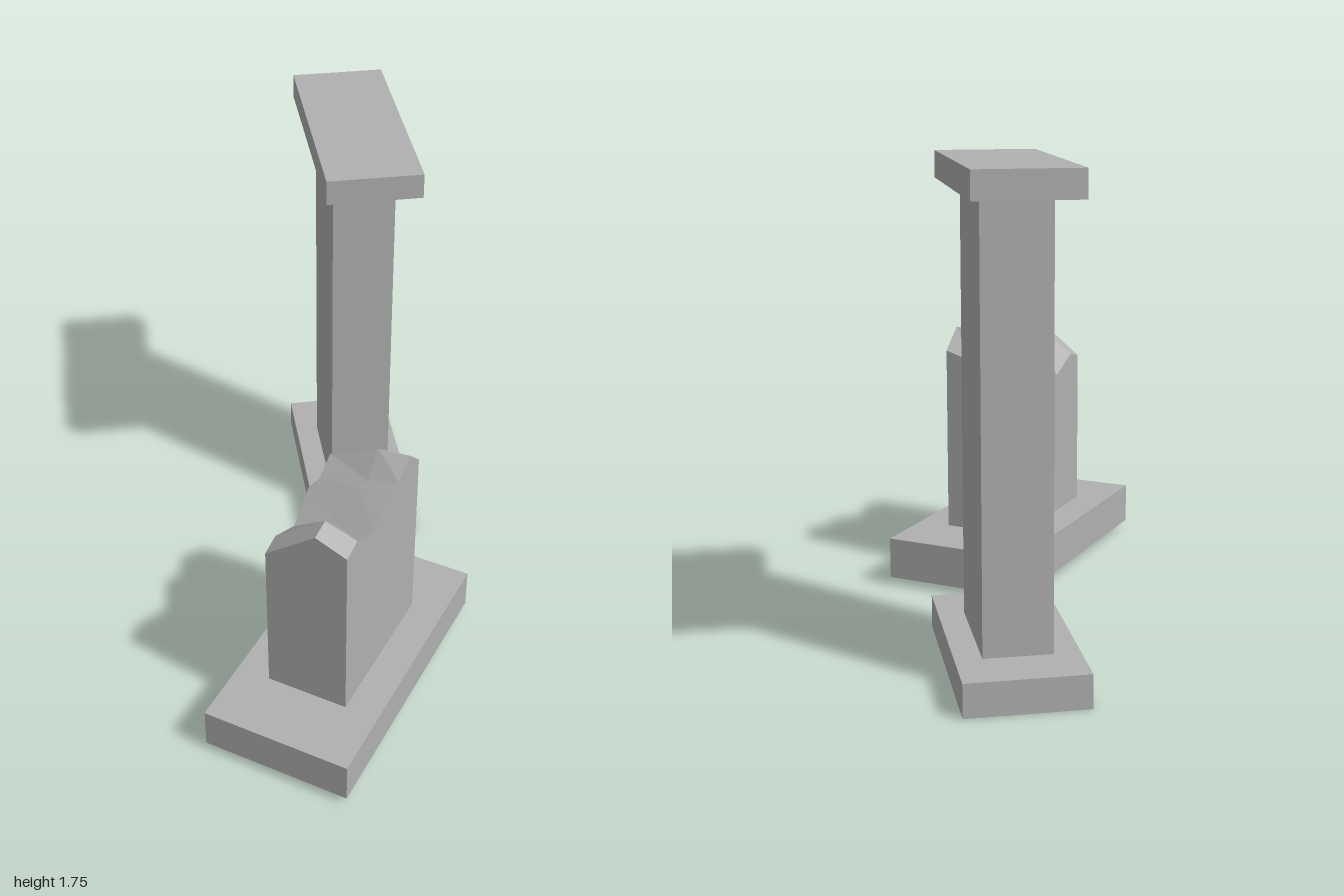
import * as THREE from 'three';

const stone = new THREE.MeshStandardMaterial({ color: 0xb0b0b0, side: THREE.DoubleSide, flatShading: true });
stone.name = 'grey stone';

function add(group, name, geometry, y = 0) {
  const mesh = new THREE.Mesh(geometry, stone);
  mesh.name = name;
  mesh.position.y = y;
  group.add(mesh);
}

// Plinth: a box left open underneath
function plinth(l, h, w) {
  const g = new THREE.BoxGeometry(l, h, w);
  const index = Array.from(g.index.array);
  index.splice(18, 6);
  g.setIndex(index);
  g.clearGroups();
  return g;
}

// Snapped shaft: a subdivided box whose top follows a jagged outline
function brokenShaft(l, w, bottom) {
  const columns = [0, 0.13, 0.365, 0.565, 0.7, 0.85, 1];
  const rows = [0, 0.615, 1];
  const heights = [
    [0.815, 0.835, 0.77, 0.865, 0.84, 0.892, 0.815],
    [0.965, 0.98, 0.832, 0.935, 0.905, 0.985, 0.877],
    [0.915, 0.937, 0.87, 0.967, 0.942, 0.997, 0.915],
  ];
  const g = new THREE.BoxGeometry(6, 2, 2, 6, 1, 2);
  const p = g.attributes.position;
  for (let i = 0; i < p.count; i++) {
    const c = Math.round(p.getX(i) + 3), r = Math.round(p.getZ(i) + 1);
    const y = p.getY(i) > 0 ? heights[r][c] : bottom;
    p.setXYZ(i, (columns[c] - 0.5) * l, y, (rows[r] - 0.5) * w);
  }
  const flat = g.toNonIndexed();
  flat.computeVertexNormals();
  return flat;
}

export function createModel() {
  const model = new THREE.Group();
  model.name = 'ruinedPillars';

  // Whole pillar
  const tall = new THREE.Group();
  tall.name = 'tallPillar';
  tall.position.set(0.4725, 0, -0.5225);
  tall.rotation.y = 1.152;
  add(tall, 'tallPlinth', plinth(0.825, 0.12, 0.427), 0.06);
  add(tall, 'tallShaft', new THREE.BoxGeometry(0.443, 1.54, 0.24), 0.88);
  add(tall, 'tallCap', new THREE.BoxGeometry(0.882, 0.095, 0.357), 1.6975);

  // Broken pillar
  const broken = new THREE.Group();
  broken.name = 'brokenPillar';
  broken.position.set(-0.219, 0, 0.4675);
  broken.rotation.y = 0.539;
  add(broken, 'brokenPlinth', plinth(1.1, 0.16, 0.572), 0.11);
  add(broken, 'brokenShaft', brokenShaft(0.594, 0.314, 0.18));

  model.add(tall, broken);
  return model;
}
